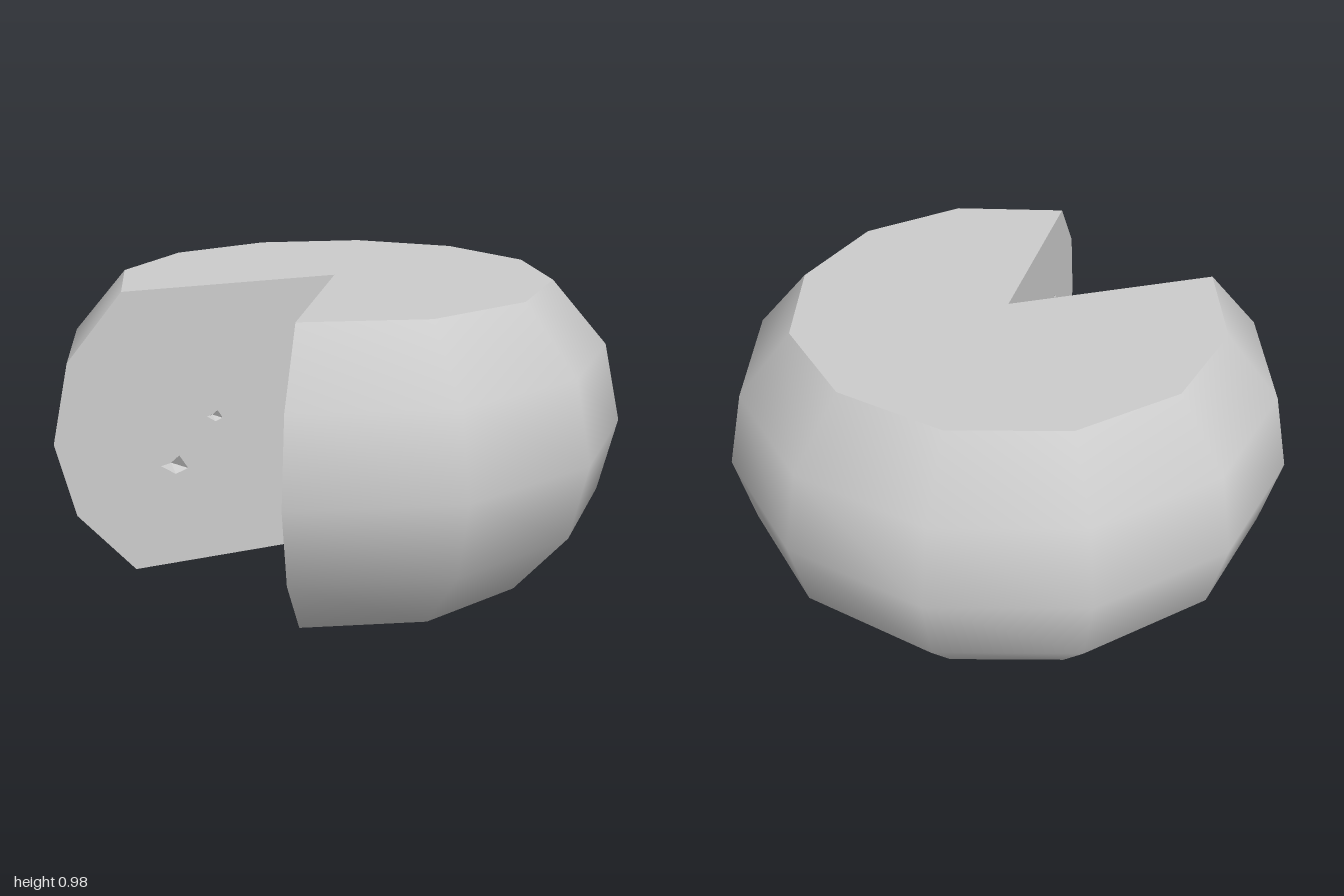
import * as THREE from 'three';

const CENTRE_X = -0.067;
const GAP = Math.PI / 6; // half angle of the missing wedge
const SIDES = 10;
const PROFILE = [[0.75, 0], [0.94, 0.23], [1, 0.49], [0.94, 0.76], [0.75, 0.98]]
  .map(([r, y]) => new THREE.Vector2(r, y));

// Small torn pits on the cut faces: distance from axis, height, size
const FRONT_PITS = [[0.47, 0.47, 0.055], [0.72, 0.24, 0.05], [0.55, 0.38, 0.018], [0.68, 0.63, 0.015]];
const BACK_PITS = [[0.6, 0.36, 0.05], [0.45, 0.52, 0.03]];

const pitOutline = ([s, y, size]) => [[-1, -0.3], [-0.1, -0.6], [0.9, 0.1], [0.2, 0.25], [-0.4, 0.7]]
  .map(([u, v]) => new THREE.Vector2(s + u * size, y + v * size));

// The front cut leans slightly into the gap
function nudge(geometry) {
  const p = geometry.attributes.position;
  for (let i = 0; i < p.count; i++) {
    const x = p.getX(i), z = p.getZ(i);
    if (x < -0.01 && z > 0 && z < -0.6 * x) p.setZ(i, z * 0.94);
  }
  return geometry;
}

function cutGeometry(pits, angle) {
  const shape = new THREE.Shape([new THREE.Vector2(0, 0), ...PROFILE, new THREE.Vector2(0, 0.98)]);
  for (const pit of pits) shape.holes.push(new THREE.Path(pitOutline(pit)));
  return nudge(new THREE.ShapeGeometry(shape).rotateY(angle));
}

// Faceted hollow behind each hole
function pitGeometry(pit, angle, inward) {
  const rim = pitOutline(pit), points = [];
  rim.forEach((a, i) => {
    const b = rim[(i + 1) % rim.length];
    points.push(a.x, a.y, 0, b.x, b.y, 0, pit[0], pit[1], inward * pit[2] * 0.7);
  });
  const geometry = new THREE.BufferGeometry();
  geometry.setAttribute('position', new THREE.Float32BufferAttribute(points, 3));
  nudge(geometry.rotateY(angle));
  geometry.computeVertexNormals();
  return geometry;
}

export function createModel() {
  const group = new THREE.Group();
  group.name = 'cutWheel';
  const grey = new THREE.MeshStandardMaterial({ color: 0xcccccc, side: THREE.DoubleSide });
  grey.name = 'light grey';

  const add = (name, geometry) => {
    const mesh = new THREE.Mesh(geometry, grey);
    mesh.name = name;
    mesh.position.x = CENTRE_X;
    group.add(mesh);
  };

  // Smooth bulging rind, open towards -x
  const sweep = 2 * Math.PI - 2 * GAP;
  add('rind', nudge(new THREE.LatheGeometry(PROFILE, SIDES, -Math.PI / 2 + GAP, sweep)));

  // Flat top and bottom
  const cap = () => new THREE.CircleGeometry(0.75, SIDES, -Math.PI + GAP, sweep);
  add('top', nudge(cap().rotateX(-Math.PI / 2).translate(0, 0.98, 0)));
  add('bottom', nudge(cap().rotateX(Math.PI / 2)));

  // Two cut faces with their pits
  const cuts = [['front', FRONT_PITS, -1], ['back', BACK_PITS, 1]];
  for (const [name, pits, side] of cuts) {
    const angle = side * (Math.PI - GAP);
    add(name + 'Cut', cutGeometry(pits, angle));
    pits.forEach((pit, i) => add(`${name}Pit${i + 1}`, pitGeometry(pit, angle, side)));
  }
  return group;
}
